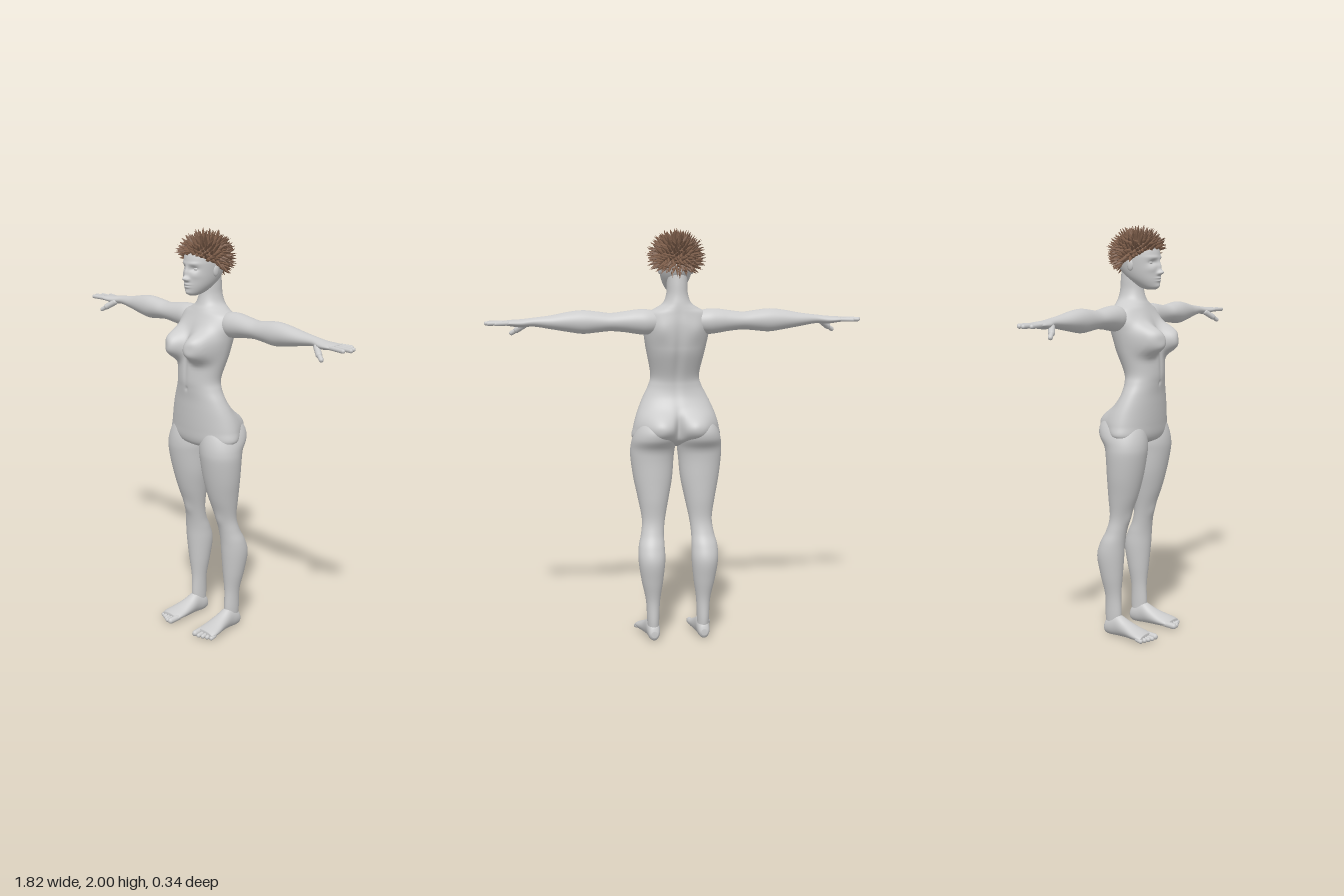
import * as THREE from 'three';
import { mergeGeometries } from 'three/addons/utils/BufferGeometryUtils.js';

const skin = new THREE.MeshStandardMaterial({ color: 0xcccccc });
skin.name = 'grey skin';
const hairBrown = new THREE.MeshStandardMaterial({ color: 0x80604c, side: THREE.DoubleSide });
hairBrown.name = 'brown hair';

// Smooth spline through rows of numbers
function spline(rows, u) {
  const i = Math.min(Math.floor(u), rows.length - 2), t = u - i;
  const at = (k) => rows[Math.max(0, Math.min(rows.length - 1, k))];
  const [p, q, r, s] = [at(i - 1), at(i), at(i + 1), at(i + 2)];
  return q.map((v, k) => v + 0.5 * t * (r[k] - p[k] + t * (2 * p[k] - 5 * v + 4 * r[k] - s[k]
    + t * (3 * (v - r[k]) + s[k] - p[k]))));
}

// Elliptical loft along axis 0/1/2; rows are [position, aLow, aHigh, bLow, bHigh],
// where a and b are the next two axes in cyclic order
function loft(axis, rows, seg = 36, sub = 5, shape = null) {
  const pos = [], index = [], n = (rows.length - 1) * sub;
  const a = (axis + 1) % 3, b = (axis + 2) % 3;
  const put = (r, c, s) => {
    const p = [0, 0, 0];
    p[axis] = r[0];
    p[a] = (r[1] + r[2]) / 2 + c * (r[2] - r[1]) / 2;
    p[b] = (r[3] + r[4]) / 2 + s * (r[4] - r[3]) / 2;
    if (shape) shape(p);
    pos.push(...p);
  };
  for (let i = 0; i <= n; i++) {
    const r = spline(rows, i / sub);
    for (let j = 0; j < seg; j++) {
      const t = (j / seg) * Math.PI * 2;
      put(r, Math.cos(t), Math.sin(t));
    }
  }
  put(rows[0], 0, 0);
  put(rows[rows.length - 1], 0, 0);
  const first = (n + 1) * seg;
  for (let j = 0; j < seg; j++) {
    const k = (j + 1) % seg;
    for (let i = 0; i < n; i++) {
      const p = i * seg + j, q = i * seg + k;
      index.push(p, q, q + seg, p, q + seg, p + seg);
    }
    index.push(first, k, j, first + 1, n * seg + j, n * seg + k);
  }
  const g = new THREE.BufferGeometry();
  g.setAttribute('position', new THREE.Float32BufferAttribute(pos, 3));
  g.setIndex(index);
  g.computeVertexNormals();
  return g;
}

// Symmetric soft bumps [x, y, radiusX, radiusY, height, side, sharpness] pushed along z;
// the base surface counts as front or back by its distance from midZ
const bumps = (list, midZ = 0) => (p) => {
  const z0 = p[2] - midZ;
  for (const [x, y, rx, ry, h, side = 1, power = 1] of list) {
    const d = ((Math.abs(p[0]) - x) / rx) ** 2 + ((p[1] - y) / ry) ** 2;
    const w = Math.max(0, Math.min(1, (side * z0) / 0.05));
    p[2] += side * h * w * Math.exp(-(d ** power));
  }
};

const ball = (x, y, z, rx, ry, rz) =>
  new THREE.SphereGeometry(1, 20, 14).scale(rx, ry, rz).translate(x, y, z);

// Capsule joining two points
function digit(from, to, radius) {
  const a = new THREE.Vector3(...from), d = new THREE.Vector3(...to).sub(a);
  const g = new THREE.CapsuleGeometry(radius, d.length(), 5, 12);
  g.applyQuaternion(new THREE.Quaternion().setFromUnitVectors(new THREE.Vector3(0, 1, 0), d.clone().normalize()));
  return g.translate(a.x + d.x / 2, a.y + d.y / 2, a.z + d.z / 2);
}

function mirrored(g) {
  const m = g.clone().applyMatrix4(new THREE.Matrix4().makeScale(-1, 1, 1));
  const ix = m.index.array;
  for (let i = 0; i < ix.length; i += 3) [ix[i], ix[i + 1]] = [ix[i + 1], ix[i]];
  return m;
}

export function createModel() {
  const model = new THREE.Group();
  const add = (name, geo, mat = skin) => {
    const m = new THREE.Mesh(geo, mat);
    m.name = name;
    model.add(m);
  };
  const pair = (name, geo) => {
    add(name + 'Left', geo);
    add(name + 'Right', mirrored(geo));
  };

  // Torso, hips and neck: [y, back, front, half width]
  const torso = [
    [0.955, -0.03, 0.045, 0.03], [0.972, -0.07, 0.08, 0.15], [1, -0.105, 0.094, 0.214],
    [1.05, -0.12, 0.099, 0.21], [1.1, -0.112, 0.102, 0.197], [1.15, -0.088, 0.104, 0.178],
    [1.2, -0.064, 0.106, 0.155], [1.25, -0.057, 0.112, 0.13],
    [1.3, -0.065, 0.117, 0.119], [1.4, -0.105, 0.113, 0.138], [1.45, -0.117, 0.105, 0.148],
    [1.5, -0.124, 0.093, 0.157], [1.55, -0.125, 0.073, 0.163], [1.6, -0.119, 0.05, 0.148],
    [1.625, -0.116, 0.038, 0.104], [1.65, -0.112, 0.026, 0.068], [1.69, -0.104, 0.016, 0.052],
    [1.74, -0.1, 0.012, 0.049], [1.79, -0.095, 0.01, 0.048],
  ].map(([y, b, f, w]) => [y, b, f, -w, w]);
  add('torso', loft(1, torso, 112, 7, bumps([
    [0.083, 1.458, 0.068, 0.068, 0.079, 1, 1.8],
    [0.085, 1.53, 0.06, 0.05, 0.012],
    [0, 1.25, 0.007, 0.009, -0.006],
    [0, 1.36, 0.012, 0.09, -0.004],
    [0, 1.4, 0.022, 0.17, -0.012, -1],
    [0.085, 1.52, 0.04, 0.05, 0.008, -1],
    [0.095, 1.05, 0.075, 0.07, 0.056, -1, 1.3],
    [0, 1.05, 0.018, 0.06, -0.03, -1],
  ])));

  // Legs: [y, back, front, inner x, outer x], with a soft kneecap
  pair('leg', loft(1, [
    [0.05, -0.115, -0.045, 0.097, 0.15], [0.1, -0.12, -0.035, 0.095, 0.154],
    [0.2, -0.12, -0.038, 0.09, 0.16], [0.3, -0.14, -0.03, 0.076, 0.181],
    [0.4, -0.156, -0.022, 0.066, 0.196], [0.47, -0.137, -0.017, 0.067, 0.194],
    [0.53, -0.108, -0.008, 0.068, 0.18], [0.6, -0.092, 0.008, 0.06, 0.173],
    [0.7, -0.098, 0.045, 0.04, 0.19], [0.8, -0.101, 0.072, 0.021, 0.21],
    [0.9, -0.104, 0.091, 0.012, 0.223], [0.95, -0.114, 0.095, 0.006, 0.223],
    [1, -0.147, 0.09, 0.004, 0.215], [1.05, -0.148, 0.076, 0.012, 0.194],
    [1.1, -0.105, 0.05, 0.035, 0.16], [1.13, -0.05, 0.02, 0.07, 0.12],
  ], 48, 6, bumps([[0.116, 0.59, 0.03, 0.035, 0.007]], -0.05)));

  // Feet: [z, inner x, outer x, sole, top]
  pair('foot', loft(2, [
    [-0.125, 0.108, 0.14, 0.02, 0.05], [-0.115, 0.098, 0.15, 0.005, 0.075],
    [-0.09, 0.092, 0.156, 0, 0.095], [-0.05, 0.09, 0.16, 0, 0.108],
    [0, 0.083, 0.17, 0, 0.083], [0.05, 0.078, 0.185, 0, 0.06],
    [0.09, 0.077, 0.193, 0.002, 0.045], [0.115, 0.082, 0.188, 0.006, 0.034],
  ]));
  const toes = [];
  for (let i = 0; i < 5; i++) {
    const r = i ? 0.011 : 0.015, x = i ? 0.097 + i * 0.0215 : 0.093;
    toes.push(digit([x, r + 0.006, 0.09], [x + 0.002, r, (i ? 0.148 - i * 0.009 : 0.14)], r));
  }
  pair('toes', mergeGeometries(toes));

  // Arms and palms: [x, bottom, top, back, front]
  pair('arm', loft(0, [
    [0.05, 1.54, 1.585, -0.08, -0.01], [0.1, 1.51, 1.61, -0.1, 0.005],
    [0.15, 1.5, 1.621, -0.11, 0.014], [0.2, 1.505, 1.62, -0.108, 0.012],
    [0.25, 1.513, 1.613, -0.104, 0.01], [0.32, 1.519, 1.605, -0.101, 0.008],
    [0.38, 1.514, 1.612, -0.1, 0.008],
    [0.45, 1.508, 1.619, -0.1, 0.008], [0.52, 1.518, 1.612, -0.097, 0.002],
    [0.6, 1.532, 1.597, -0.092, -0.01], [0.68, 1.545, 1.587, -0.08, -0.018],
    [0.74, 1.542, 1.58, -0.084, -0.004], [0.79, 1.548, 1.577, -0.09, 0.002],
    [0.82, 1.553, 1.573, -0.086, -0.004],
  ]));
  // Fingers: [knuckle z, tip x, tip z]
  const fingers = [[-0.08, 0.855, -0.092], [-0.057, 0.889, -0.066], [-0.034, 0.9, -0.038],
    [-0.012, 0.884, -0.006]].map(([z, x, tz]) => digit([0.8, 1.563, z], [x, 1.562, tz], 0.0098));
  fingers.push(digit([0.72, 1.552, -0.018], [0.757, 1.527, 0.006], 0.015));
  fingers.push(digit([0.757, 1.527, 0.006], [0.782, 1.511, 0.017], 0.011));
  pair('fingers', mergeGeometries(fingers));

  // Head: [y, back, front, half width], with sculpted nose, eye sockets and lips
  const head = [
    [1.694, 0.04, 0.085, 0.015], [1.705, 0.005, 0.1, 0.034], [1.73, -0.04, 0.106, 0.053],
    [1.76, -0.078, 0.107, 0.067], [1.8, -0.105, 0.106, 0.077], [1.85, -0.115, 0.104, 0.083],
    [1.89, -0.112, 0.094, 0.08], [1.92, -0.095, 0.072, 0.066], [1.94, -0.05, 0.03, 0.03],
  ].map(([y, b, f, w]) => [y, b, f, -w, w]);
  add('head', loft(1, head, 96, 12, bumps([
    [0, 1.803, 0.01, 0.025, 0.012], [0, 1.776, 0.012, 0.011, 0.022],
    [0.013, 1.771, 0.007, 0.007, 0.008], [0.033, 1.822, 0.019, 0.012, -0.013],
    [0.033, 1.846, 0.028, 0.008, 0.004], [0, 1.749, 0.02, 0.0045, 0.006],
    [0, 1.736, 0.017, 0.0045, 0.006], [0, 1.71, 0.02, 0.01, 0.004],
    [0.045, 1.79, 0.018, 0.015, 0.004],
  ])));
  pair('eye', ball(0.033, 1.821, 0.073, 0.015, 0.011, 0.014));
  pair('ear', ball(0.077, 1.812, -0.008, 0.01, 0.029, 0.017));

  // Scalp: a tilted cap, lower at the nape
  const centre = new THREE.Vector3(0, 1.865, -0.012), radii = new THREE.Vector3(0.095, 0.088, 0.108);
  add('scalp', new THREE.SphereGeometry(1, 40, 20, 0, Math.PI * 2, 0, 1.86)
    .rotateX(-0.56).scale(...radii.toArray()).translate(...centre.toArray()), hairBrown);

  // Spiky hair spread evenly over the scalp
  let seed = 7;
  const rand = () => (seed = (seed * 16807) % 2147483647) / 2147483647;
  const up = new THREE.Vector3(0, 1, 0), spikes = [], count = 460;
  for (let i = 0; i < count; i++) {
    const y = 1 - (2 * (i + 0.5)) / count, r = Math.sqrt(1 - y * y), t = i * 2.39996;
    const dir = new THREE.Vector3(r * Math.cos(t), y, r * Math.sin(t));
    const root = dir.clone().multiply(radii).add(centre);
    if (root.y < 1.842 + 0.5 * root.z) continue;
    dir.x += (rand() - 0.5) * 0.6;
    dir.y += (rand() - 0.5) * 0.6;
    dir.z += (rand() - 0.5) * 0.6;
    dir.normalize();
    const length = 0.04 + rand() * 0.018;
    const g = new THREE.ConeGeometry(0.011, length, 5, 1, true).translate(0, length / 2 - 0.004, 0);
    g.applyQuaternion(new THREE.Quaternion().setFromUnitVectors(up, dir));
    spikes.push(g.translate(root.x, root.y, root.z));
  }
  add('hairSpikes', mergeGeometries(spikes), hairBrown);

  return model;
}
